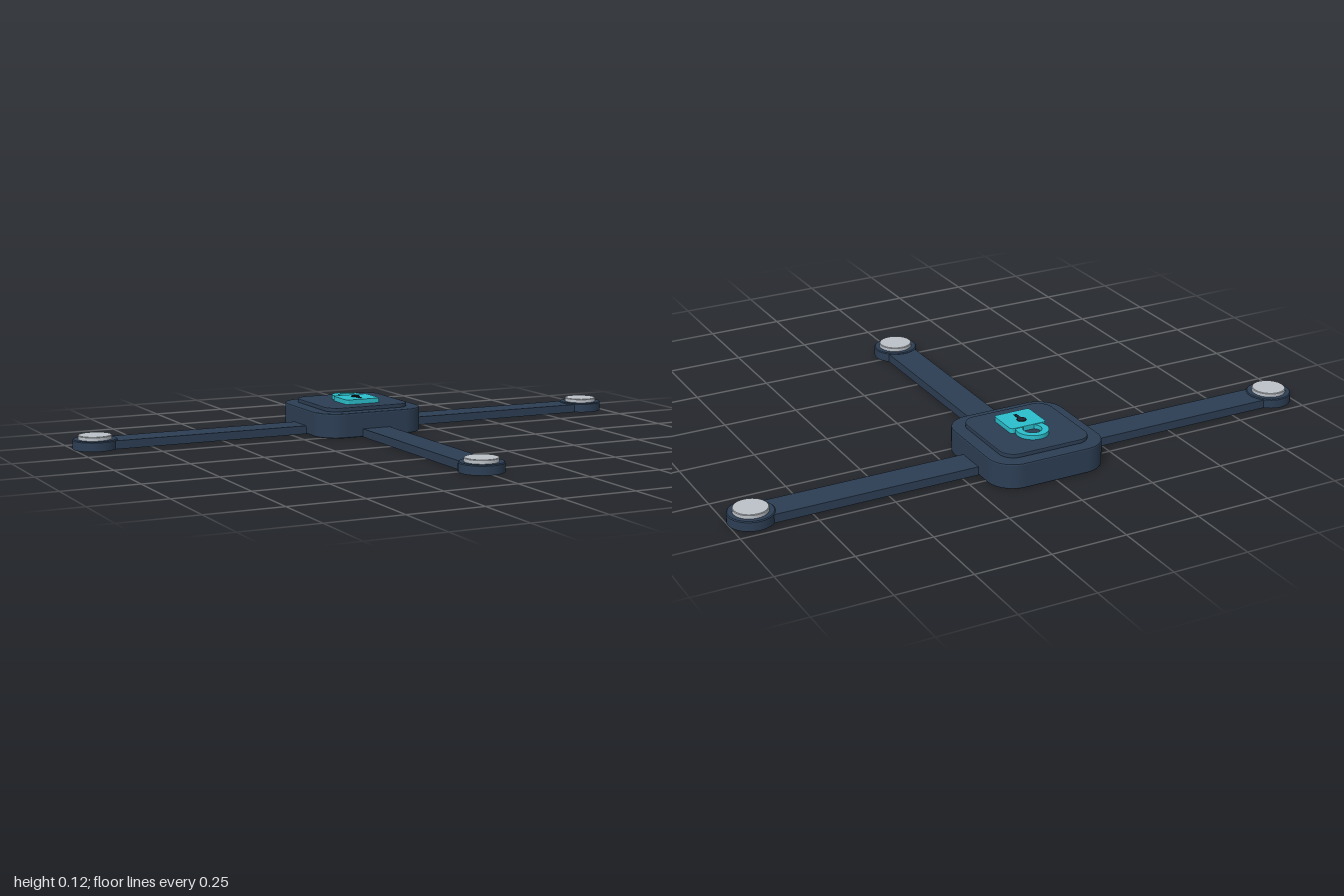
import * as THREE from 'three';

const HUB_Z = -0.405;

export function createModel() {
  const mat = (name, color) => {
    const m = new THREE.MeshStandardMaterial({ color });
    m.name = name;
    return m;
  };
  const navy = mat('navy', 0x2c3e54);
  const teal = mat('teal', 0x2bbfcc);
  const silver = mat('silver', 0xbcc2c9);
  const dark = mat('dark', 0x18222e);

  const root = new THREE.Group();
  root.name = 'threeArmBracket';
  const add = (name, geometry, material, x = 0, y = 0, z = 0, parent = root) => {
    const mesh = new THREE.Mesh(geometry, material);
    mesh.name = name;
    mesh.position.set(x, y, z);
    parent.add(mesh);
    return mesh;
  };

  // Rounded rectangle outline centred on the origin
  const roundedRect = (w, d, r) => {
    const s = new THREE.Shape(), x = w / 2, y = d / 2;
    s.moveTo(x, -y + r);
    s.absarc(x - r, y - r, r, 0, Math.PI / 2);
    s.absarc(-x + r, y - r, r, Math.PI / 2, Math.PI);
    s.absarc(-x + r, -y + r, r, Math.PI, Math.PI * 1.5);
    s.absarc(x - r, -y + r, r, Math.PI * 1.5, Math.PI * 2);
    return s;
  };
  // Upright slab standing on y = 0, with an optional small bevel kept inside the height
  const slab = (shape, height, bevel = 0) => {
    const g = new THREE.ExtrudeGeometry(shape, {
      depth: height - 2 * bevel, curveSegments: 16,
      bevelEnabled: bevel > 0, bevelSize: bevel, bevelThickness: bevel,
      bevelOffset: -bevel, bevelSegments: 2,
    });
    return g.translate(0, 0, bevel).rotateX(-Math.PI / 2);
  };

  // Central hub and raised cover
  add('hub', slab(roundedRect(0.39, 0.39, 0.085), 0.084, 0.005), navy, 0, 0, HUB_Z);
  add('cover', slab(roundedRect(0.306, 0.306, 0.05), 0.014, 0.003), navy, 0, 0.083, HUB_Z);

  // Three arms, each with a round foot and a metal contact disc
  const disc = (r, h, b) => new THREE.LatheGeometry([
    [0, 0], [r, 0], [r, 0], [r, h - b], [r, h - b], [r - b, h], [r - b, h], [0, h],
  ].map(([x, y]) => new THREE.Vector2(x, y)), 40);
  const arms = [
    ['leftArm', Math.PI / 2, 0.927],
    ['rightArm', -Math.PI / 2, 0.927],
    ['frontArm', 0, 0.93],
  ];
  for (const [name, angle, length] of arms) {
    const arm = new THREE.Group();
    arm.name = name;
    arm.position.z = HUB_Z;
    arm.rotation.y = angle;
    add('bar', new THREE.BoxGeometry(0.1, 0.028, length - 0.1), navy, 0, 0.014, 0.1 + (length - 0.1) / 2, arm);
    add('foot', disc(0.073, 0.032, 0.003), navy, 0, 0, length, arm);
    add('contactDisc', disc(0.055, 0.014, 0.002), silver, 0, 0.031, length, arm);
    root.add(arm);
  }

  // Padlock emblem: body, shackle ring and keyhole
  const lock = new THREE.Group();
  lock.name = 'padlock';
  lock.position.y = 0.097;
  root.add(lock);
  add('lockBody', slab(roundedRect(0.126, 0.112, 0.01), 0.016), teal, 0, 0, -0.366, lock);
  const ring = new THREE.Shape().absarc(0, 0, 0.052, 0, Math.PI * 2);
  ring.holes.push(new THREE.Path().absarc(0, 0, 0.03, 0, Math.PI * 2, true));
  add('shackle', slab(ring, 0.014), teal, 0, 0, -0.445, lock);
  add('keyholeRound', new THREE.CylinderGeometry(0.015, 0.015, 0.004, 24), dark, 0, 0.017, -0.376, lock);
  add('keyholeSlot', new THREE.BoxGeometry(0.01, 0.003, 0.036), dark, 0, 0.017, -0.353, lock);

  return root;
}
